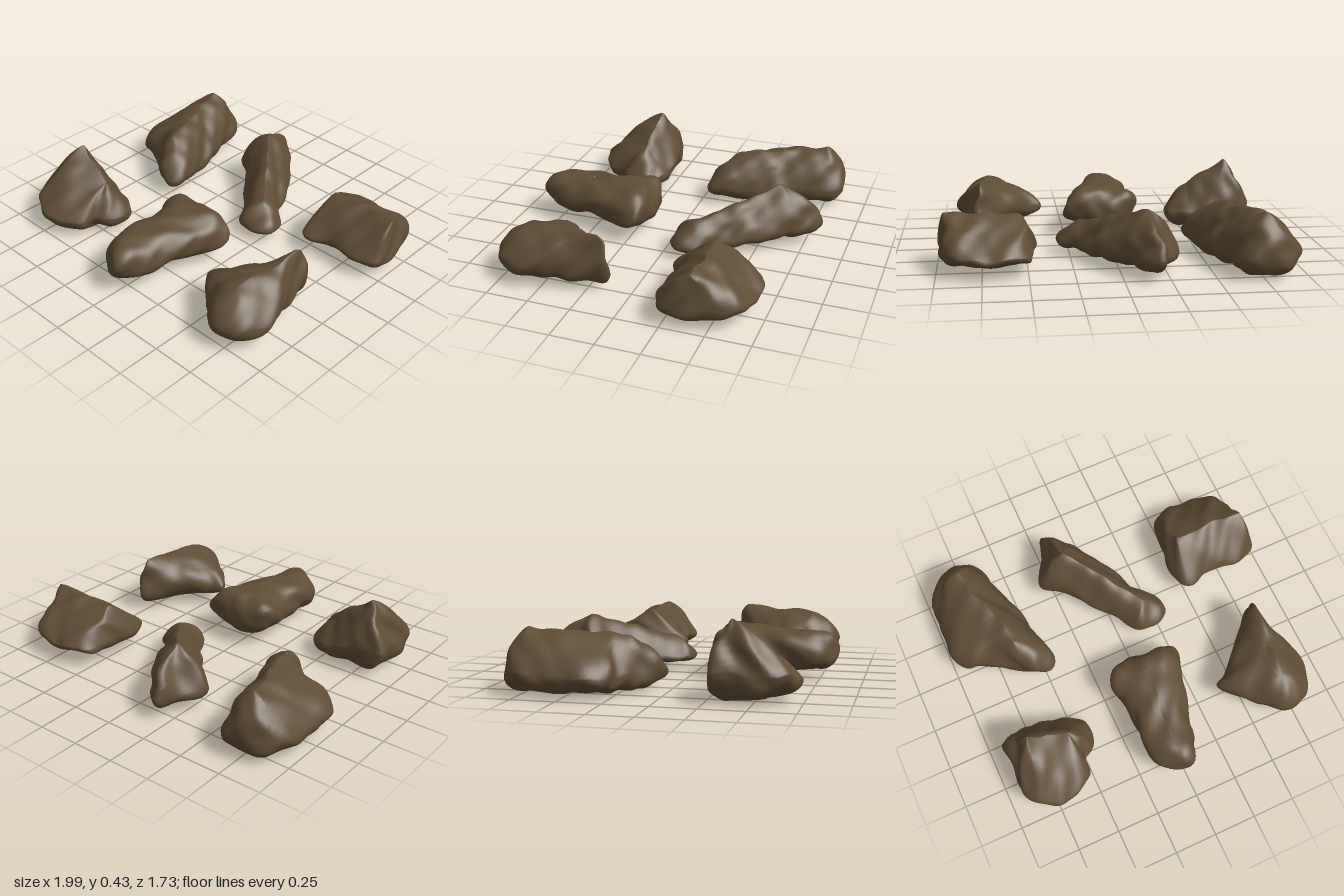
import * as THREE from 'three';

const stone = new THREE.MeshStandardMaterial({ color: 0x5e4d35 });
stone.name = 'brown stone';

const SEGMENTS = 84, RINGS = 12;

// lumps and dents that vary smoothly over the stone
function roughen(v) {
  const { x, y, z } = v;
  v.x += 0.009 * Math.sin(17 * z + 23 * y + 1) + 0.004 * Math.sin(41 * y + 37 * z);
  v.z += 0.009 * Math.sin(19 * x + 21 * y + 2) + 0.004 * Math.sin(43 * x - 31 * y);
  v.y += 0.008 * Math.sin(21 * x + 2) * Math.sin(18 * z + 1) + 0.004 * Math.sin(39 * x + 33 * z);
}

// A rock rises from its plan outline [x, z] to a ridge between two points (x, y, z).
// girth: how far up the widest ring sits, from base (0) to ridge (1)
// fullness: 1 = straight sloping faces, 2 = rounded, more = boxy
function makeRock(name, { outline, from, to, base, girth, fullness }) {
  const rim = new THREE.CatmullRomCurve3(
    outline.map(([x, z]) => new THREE.Vector3(x, 0, z)), true, 'centripetal');
  const start = new THREE.Vector3(...from), end = new THREE.Vector3(...to);
  const ridge = new THREE.Line3(start.clone().setY(0), end.clone().setY(0));
  const positions = [], indices = [];

  // rings run from the underside, out to the rim, and in again to the ridge
  for (let r = -RINGS; r <= RINGS; r++) {
    const angle = Math.abs(r) / RINGS * Math.PI / 2;
    const power = r < 0 ? 0.85 : 2 / fullness;
    const inward = 1 - Math.pow(Math.max(0, Math.cos(angle)), power);
    const rise = Math.pow(Math.sin(angle), power);
    for (let s = 0; s < SEGMENTS; s++) {
      const v = rim.getPointAt(s / SEGMENTS);
      const top = start.clone().lerp(end, ridge.closestPointToPointParameter(v, true));
      v.y = THREE.MathUtils.lerp(base, top.y, girth);
      if (r < 0) top.y = base;
      v.set(
        THREE.MathUtils.lerp(v.x, top.x, inward),
        THREE.MathUtils.lerp(v.y, top.y, rise),
        THREE.MathUtils.lerp(v.z, top.z, inward));
      roughen(v);
      positions.push(v.x, v.y, v.z);
    }
  }
  for (let r = 0; r < RINGS * 2; r++) {
    for (let s = 0; s < SEGMENTS; s++) {
      const a = r * SEGMENTS + s, b = r * SEGMENTS + (s + 1) % SEGMENTS;
      const c = a + SEGMENTS, d = b + SEGMENTS;
      indices.push(a, c, b, b, c, d);
    }
  }
  const geometry = new THREE.BufferGeometry();
  geometry.setAttribute('position', new THREE.Float32BufferAttribute(positions, 3));
  geometry.setIndex(indices);
  geometry.computeVertexNormals();
  const mesh = new THREE.Mesh(geometry, stone);
  mesh.name = name;
  return mesh;
}

export function createModel() {
  const group = new THREE.Group();
  group.name = 'scatteredRocks';

  // back row
  group.add(makeRock('longMoundRock', {
    outline: [[-0.8, -0.86], [-0.64, -0.83], [-0.55, -0.58], [-0.49, -0.4], [-0.44, -0.08],
      [-0.53, -0.04], [-0.82, -0.23], [-0.93, -0.25], [-0.99, -0.4], [-0.92, -0.8]],
    from: [-0.76, 0.36, -0.74], to: [-0.61, 0.31, -0.22],
    base: 0.015, girth: 0.32, fullness: 1.4,
  }));
  group.add(makeRock('slantedRock', {
    outline: [[-0.2, -0.85], [0.12, -0.48], [0.19, -0.34], [0.31, -0.2], [0.31, -0.09],
      [0.1, -0.05], [0.03, -0.17], [-0.18, -0.43], [-0.33, -0.55], [-0.24, -0.7]],
    from: [-0.13, 0.36, -0.6], to: [0.19, 0.2, -0.17],
    base: 0.04, girth: 0.25, fullness: 1.4,
  }));
  group.add(makeRock('wedgeRock', {
    outline: [[0.48, -0.6], [0.54, -0.68], [0.7, -0.7], [0.89, -0.68],
      [0.98, -0.42], [0.98, -0.23], [0.65, -0.2], [0.49, -0.19]],
    from: [0.53, 0.31, -0.42], to: [0.95, 0.33, -0.41],
    base: 0.06, girth: 0.25, fullness: 1.2,
  }));

  // front row
  group.add(makeRock('peakedRock', {
    outline: [[-0.91, 0.28], [-0.8, 0.26], [-0.48, 0.29], [-0.41, 0.36], [-0.42, 0.49],
      [-0.51, 0.55], [-0.53, 0.65], [-0.66, 0.74], [-0.75, 0.74], [-0.92, 0.6], [-0.9, 0.42]],
    from: [-0.77, 0.44, 0.38], to: [-0.56, 0.28, 0.42],
    base: 0.015, girth: 0.35, fullness: 1.2,
  }));
  group.add(makeRock('blockRock', {
    outline: [[-0.17, 0.17], [0, 0.13], [0.24, 0.19], [0.2, 0.4], [0.13, 0.58],
      [0.12, 0.7], [0.01, 0.86], [-0.15, 0.74], [-0.17, 0.34], [-0.2, 0.25]],
    from: [0.02, 0.31, 0.26], to: [-0.03, 0.28, 0.72],
    base: 0.06, girth: 0.48, fullness: 2.3,
  }));
  group.add(makeRock('pointedRock', {
    outline: [[0.78, 0.11], [0.8, 0.22], [0.88, 0.45], [0.9, 0.6], [0.84, 0.74],
      [0.68, 0.79], [0.58, 0.7], [0.38, 0.49], [0.45, 0.43], [0.56, 0.33]],
    from: [0.76, 0.34, 0.2], to: [0.72, 0.31, 0.62],
    base: 0.045, girth: 0.38, fullness: 1.5,
  }));
  return group;
}
